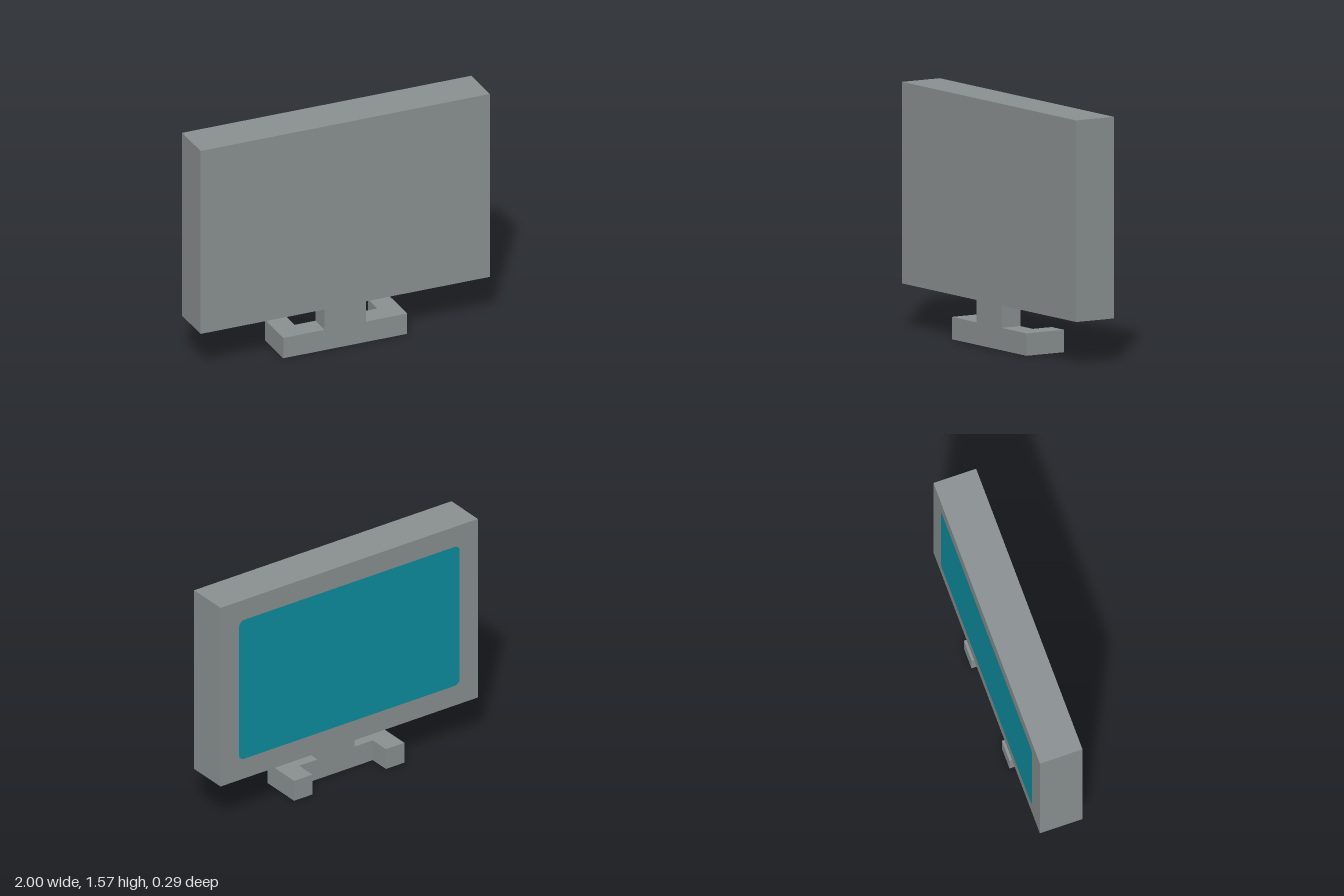
import * as THREE from 'three';

const U = 1 / 7; // everything sits on a grid of one seventh

export function createModel() {
  const group = new THREE.Group();
  group.name = 'monitor';

  const casingGrey = new THREE.MeshStandardMaterial({ color: 0x8a9091 });
  casingGrey.name = 'casingGrey';
  const screenTeal = new THREE.MeshStandardMaterial({ color: 0x0e8ea0 });
  screenTeal.name = 'screenTeal';

  function add(name, geometry, material, x, y, z) {
    const mesh = new THREE.Mesh(geometry, material);
    mesh.name = name;
    mesh.position.set(x, y, z);
    group.add(mesh);
    return mesh;
  }

  // Casing: a plain slab
  add('casing', new THREE.BoxGeometry(14 * U, 9 * U, 2 * U), casingGrey, 0, 6.5 * U, 0);

  // Neck: front half of the depth only
  add('neck', new THREE.BoxGeometry(2 * U, U, U), casingGrey, 0, 1.5 * U, 0.5 * U);

  // Base: U-shaped in plan, with two feet pointing to the back
  const plan = new THREE.Shape(
    [[-3, -1], [3, -1], [3, 1], [2, 1], [2, 0], [-2, 0], [-2, 1], [-3, 1]]
      .map(([x, y]) => new THREE.Vector2(x * U, y * U)));
  const base = new THREE.ExtrudeGeometry(plan, { depth: U, bevelEnabled: false });
  base.rotateX(-Math.PI / 2);
  add('base', base, casingGrey, 0, 0, 0);

  // Screen: thin rounded plate on the -z face
  const w = 6 * U, h = 3.5 * U, r = 0.04;
  const outline = new THREE.Shape();
  outline.absarc(w - r, h - r, r, 0, Math.PI / 2);
  outline.absarc(-w + r, h - r, r, Math.PI / 2, Math.PI);
  outline.absarc(-w + r, -h + r, r, Math.PI, Math.PI * 1.5);
  outline.absarc(w - r, -h + r, r, Math.PI * 1.5, Math.PI * 2);
  outline.closePath();
  const screen = add('screen', new THREE.ShapeGeometry(outline, 6), screenTeal, 0, 6.5 * U, -U - 0.002);
  screen.rotation.y = Math.PI;

  return group;
}
